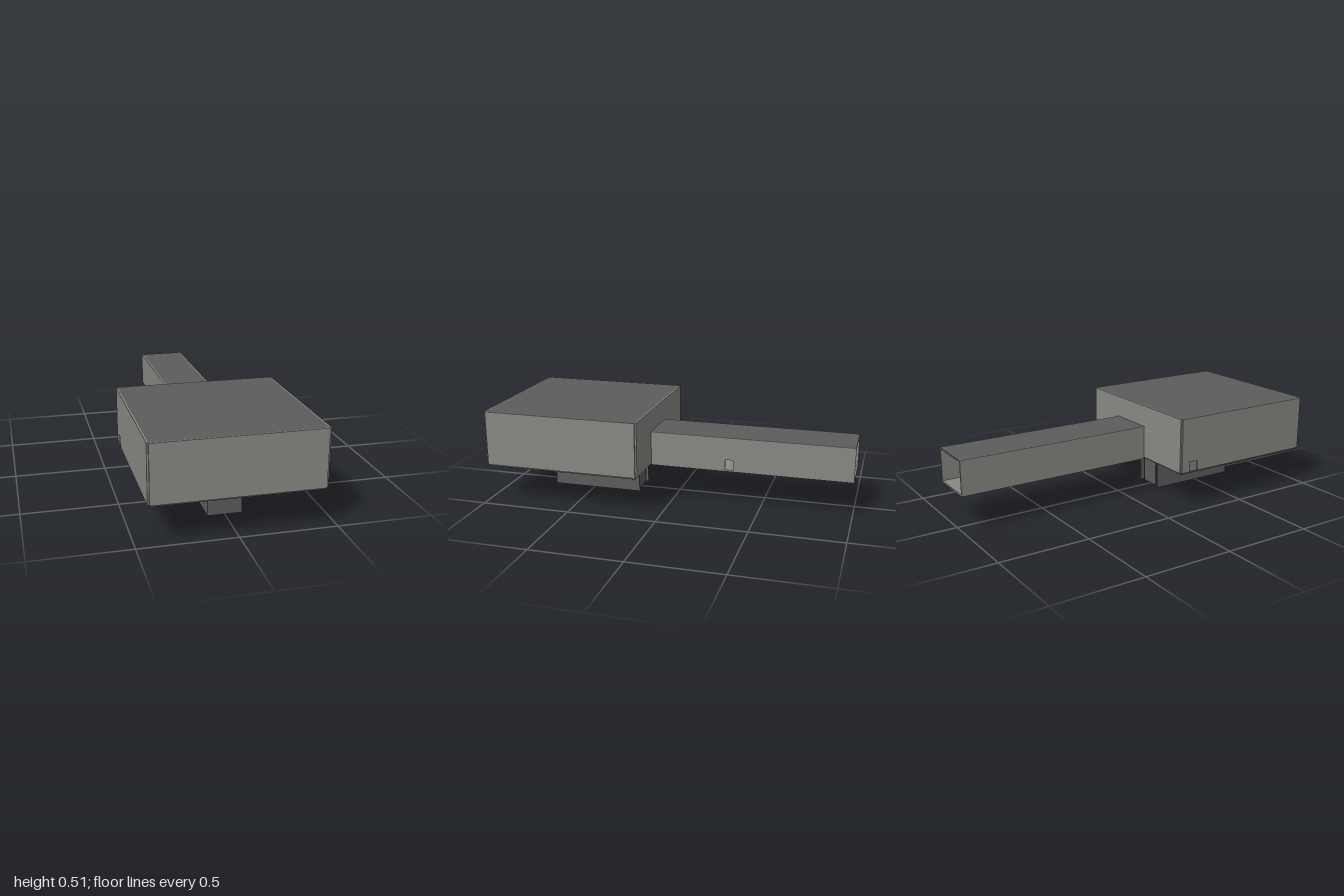
import * as THREE from 'three';

const T = 0.009; // panel thickness

export function createModel() {
  const model = new THREE.Group();
  const light = new THREE.MeshStandardMaterial({ name: 'light grey', color: 0x888884 });
  const dark = new THREE.MeshStandardMaterial({ name: 'dark grey', color: 0x5c5c5c });

  // Box panel given by its limits on each axis
  function panel(parent, name, mat, [x0, x1], [y0, y1], [z0, z1]) {
    const mesh = new THREE.Mesh(new THREE.BoxGeometry(x1 - x0, y1 - y0, z1 - z0), mat);
    mesh.position.set((x0 + x1) / 2, (y0 + y1) / 2, (z0 + z1) / 2);
    mesh.name = name;
    parent.add(mesh);
  }

  // Upright side wall with a small notch cut into its lower edge
  function notchedWall(parent, name, mat, x, [y0, y1], [z0, z1], [n0, n1], notchTop) {
    const shape = new THREE.Shape([
      [z0, y0], [n0, y0], [n0, notchTop], [n1, notchTop],
      [n1, y0], [z1, y0], [z1, y1], [z0, y1],
    ].map(([z, y]) => new THREE.Vector2(z, y)));
    const geo = new THREE.ExtrudeGeometry(shape, { depth: T, bevelEnabled: false });
    geo.rotateY(-Math.PI / 2).translate(x + T, 0, 0);
    const mesh = new THREE.Mesh(geo, mat);
    mesh.name = name;
    parent.add(mesh);
  }

  function group(name) {
    const g = new THREE.Group();
    g.name = name;
    model.add(g);
    return g;
  }

  // Wide hollow body made of six panels
  const body = group('body');
  const W = 0.44, inner = W - T;
  const back = 0.12, front = 1, base = 0.2, top = 0.513;
  const bodyZ = [back + T, front - T], wallY = [base + T, top];
  panel(body, 'bodyBottom', dark, [-inner, inner], [base, base + T], bodyZ);
  panel(body, 'bodyTop', dark, [-inner, inner], [top - T, top], bodyZ);
  panel(body, 'bodyFront', light, [-inner, inner], wallY, [front - T, front]);
  panel(body, 'bodyBack', light, [-inner, inner], wallY, [back, back + T]);
  panel(body, 'bodyLeftWall', light, [inner, W], wallY, bodyZ);
  notchedWall(body, 'bodyRightWall', light, -W, wallY, bodyZ, [0.18, 0.235], 0.267);

  // Off-centre tube, open at the rear
  const tube = group('rearTube');
  const hx0 = -0.092, hx1 = 0.175, hTop = 0.393;
  const hz = [-1, back], hWallY = [base + T, hTop];
  panel(tube, 'tubeBottom', light, [hx0, hx1], [base, base + T], hz);
  panel(tube, 'tubeTop', dark, [hx0 + T, hx1 - T], [hTop - T, hTop], hz);
  panel(tube, 'tubeRightWall', light, [hx0, hx0 + T], hWallY, hz);
  notchedWall(tube, 'tubeLeftWall', light, hx1 - T, hWallY, hz, [-0.347, -0.302], 0.267);

  // Housing below the body: closed in front, open at the rear
  const housing = group('lowerHousing');
  const w = 0.09, zBack = 0.22, zFront = 0.74, zOpen = 0.475;
  for (const [side, name] of [[1, 'housingLeftWall'], [-1, 'housingRightWall']]) {
    const c = side * (w - T / 2);
    panel(housing, name, dark, [c - T / 2, c + T / 2], [0, base], [zBack, zFront]);
  }
  panel(housing, 'housingFront', dark, [-w + T, w - T], [0, base], [zFront - T, zFront]);
  panel(housing, 'housingBottom', dark, [-w + T, w - T], [0, T], [zOpen, zFront - T]);

  // Narrow block held between the housing walls
  panel(housing, 'innerBlock', dark, [-0.057, 0.057], [0.004, base], [0.23, zOpen]);

  return model;
}
